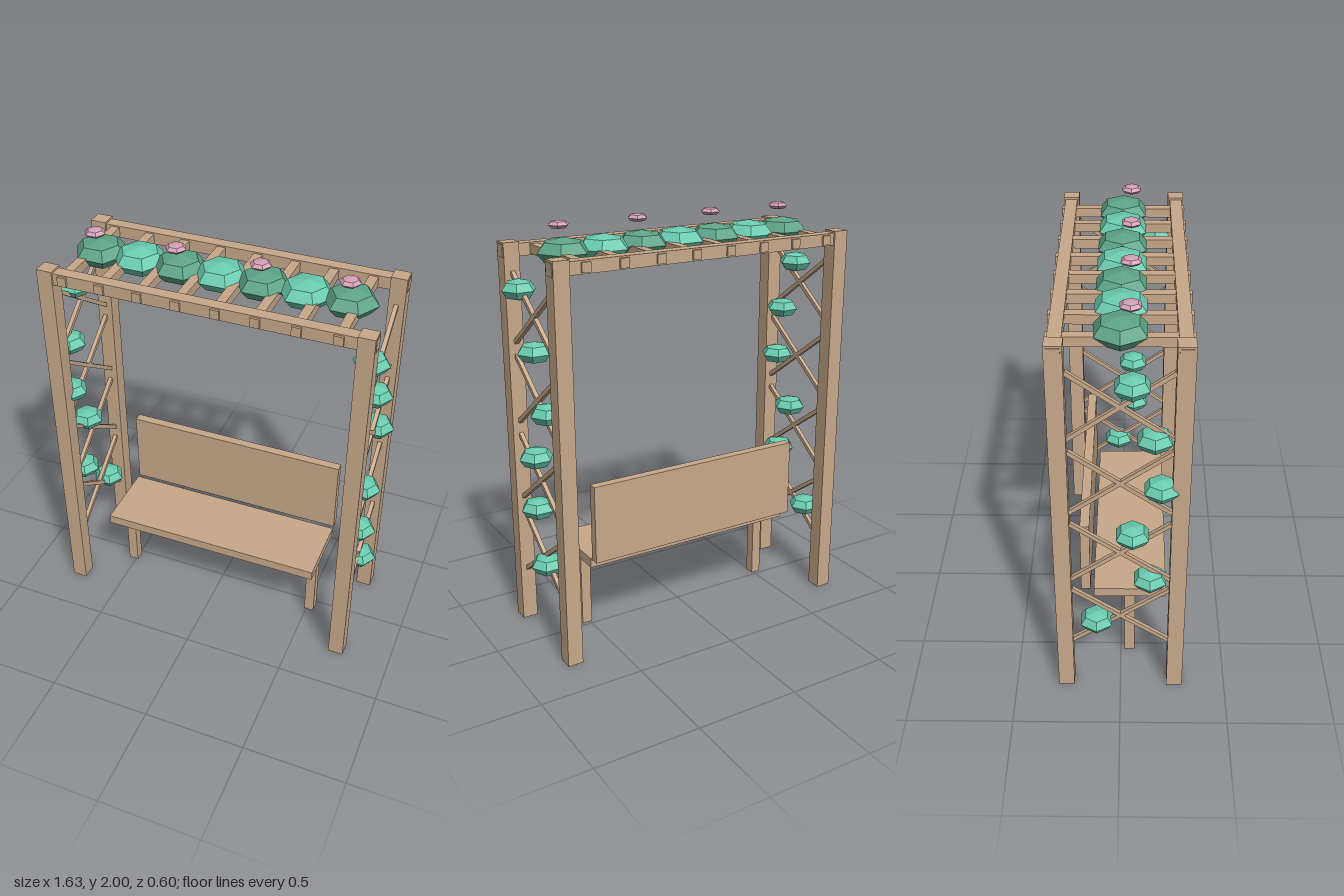
import * as THREE from 'three';

const material = (name, color, flatShading = false) => {
  const m = new THREE.MeshStandardMaterial({ color, flatShading });
  m.name = name;
  return m;
};

export function createModel() {
  const wood = material('wood', 0xc8a98b);
  const leafLight = material('lightLeaf', 0x6accb0, true);
  const leafDark = material('darkLeaf', 0x5da488, true);
  const pink = material('blossomPink', 0xd4a0b8, true);

  const model = new THREE.Group();
  model.name = 'gardenArbor';

  const group = (name) => {
    const g = new THREE.Group();
    g.name = name;
    model.add(g);
    return g;
  };
  const box = (parent, name, [w, h, d], [x, y, z]) => {
    const mesh = new THREE.Mesh(new THREE.BoxGeometry(w, h, d), wood);
    mesh.name = name;
    mesh.position.set(x, y, z);
    parent.add(mesh);
    return mesh;
  };
  // Squashed low-poly ball for foliage and blossoms
  const clump = (parent, name, mat, r, squash, [x, y, z]) => {
    const mesh = new THREE.Mesh(new THREE.SphereGeometry(r, 6, 4).scale(1, squash, 1), mat);
    mesh.name = name;
    mesh.position.set(x, y, z);
    parent.add(mesh);
  };

  // Posts and long beams
  const frame = group('frame');
  for (const z of [-0.259, 0.259]) {
    for (const x of [-0.732, 0.732]) box(frame, 'post', [0.075, 1.89, 0.075], [x, 0.945, z]);
    box(frame, 'beam', [1.545, 0.058, 0.058], [0, 1.852, z]);
  }

  // Roof rafters
  const roof = group('roof');
  for (let i = 0; i < 8; i++) {
    box(roof, 'rafter', [0.043, 0.044, 0.598], [-0.646 + i * 0.1805, 1.852, 0]);
  }

  // Crossed lattice strips on both sides
  const angle = Math.atan2(0.325, 0.45);
  for (const x of [-0.732, 0.732]) {
    const lattice = group(x < 0 ? 'rightLattice' : 'leftLattice');
    for (let i = 0; i < 4; i++) {
      for (const s of [-1, 1]) {
        const strip = box(lattice, 'latticeStrip', [0.02, 0.02, 0.55], [x, 0.435 + i * 0.386, 0]);
        strip.rotation.x = s * angle;
      }
    }
  }

  // Bench
  const bench = group('bench');
  box(bench, 'seat', [1.116, 0.048, 0.345], [0, 0.405, 0.043]);
  box(bench, 'backrest', [1.116, 0.385, 0.044], [0, 0.622, -0.167]);
  for (const x of [-0.515, 0.515]) box(bench, 'benchLeg', [0.05, 0.382, 0.05], [x, 0.191, 0.043]);

  // Climbing leaves, from bottom to top
  const climbers = group('climbingLeaves');
  const leafZ = [
    [-0.732, [-0.11, 0.133, 0.053, 0.175, 0.143, 0.048]],
    [0.732, [-0.027, 0.058, 0.053, -0.1, 0.016, 0.159]],
  ];
  for (const [x, depths] of leafZ) {
    depths.forEach((z, i) => clump(climbers, 'leaf', leafLight, 0.083, 0.6, [x, 0.403 + i * 0.257, z]));
  }

  // Roof foliage, with a blossom above every other clump
  const canopy = group('canopy');
  for (let i = 0; i < 7; i++) {
    const x = -0.603 + i * 0.1975;
    const dark = i % 2 === 0;
    clump(canopy, 'roofLeaf', dark ? leafDark : leafLight, 0.126, 0.5, [x, 1.869, 0]);
    if (dark) clump(canopy, 'blossom', pink, 0.05, 0.39, [x, 1.981, 0.04]);
  }

  return model;
}
